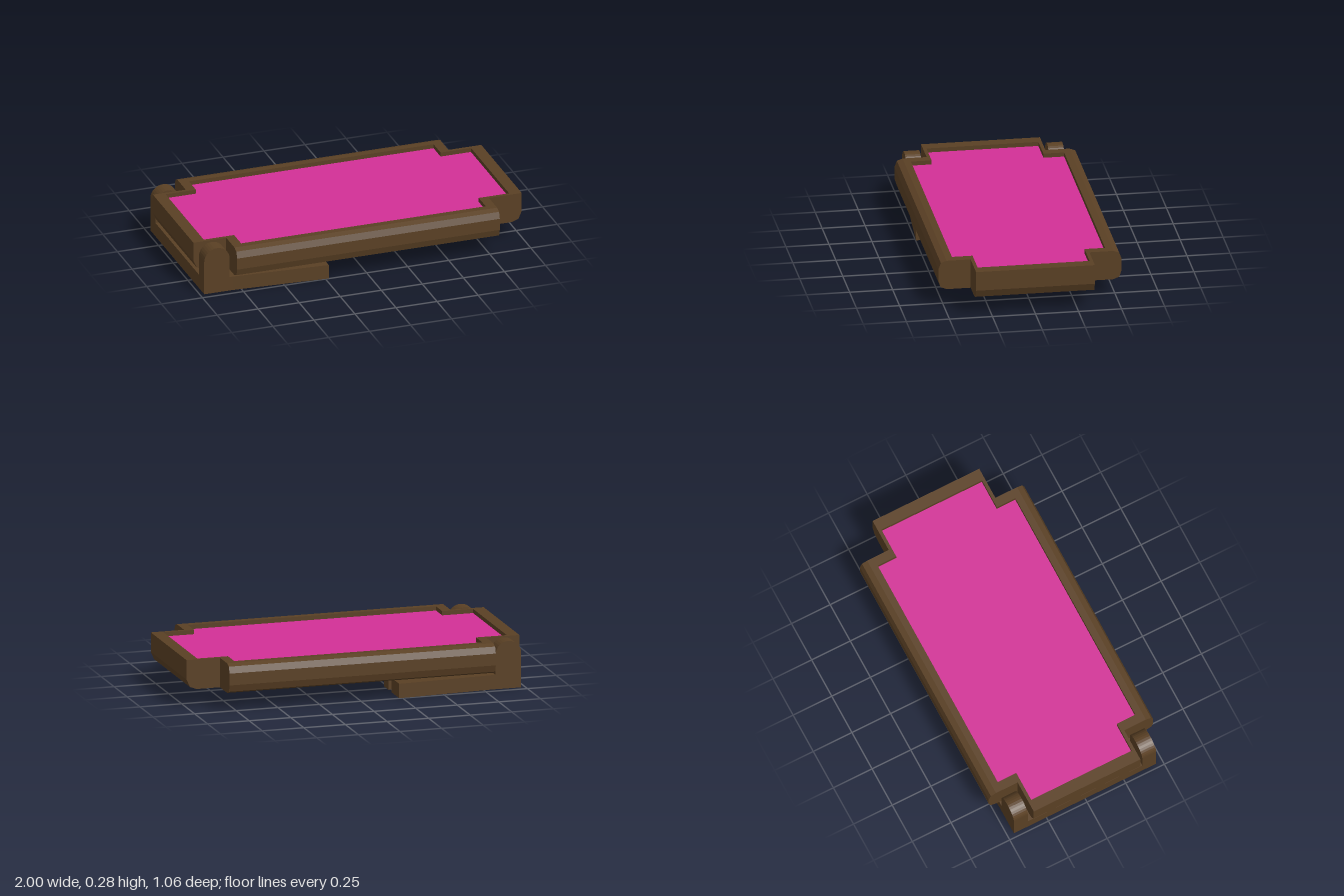
import * as THREE from 'three';

const brown = new THREE.MeshStandardMaterial({ color: 0x5a4024, flatShading: true });
const pink = new THREE.MeshStandardMaterial({ color: 0xd23096, flatShading: true });

const BOTTOM = 0.105, FLOOR = 0.255, TOP = 0.28;

function shapeOf(points) {
  return new THREE.Shape(points.map(([a, b]) => new THREE.Vector2(a, b)));
}

function extrude(shape, depth) {
  return new THREE.ExtrudeGeometry(shape, { depth, bevelEnabled: false, curveSegments: 8 });
}

// Extrudes a plan drawn in x and z upwards from y0 to y1
function slab(shape, y0, y1) {
  return extrude(shape, y1 - y0).rotateX(-Math.PI / 2).translate(0, y0, 0);
}

// Cross-shaped plan with half sizes: long arm x1 by z1, wide arm x2 by z2
function crossPlan(x1, z1, x2, z2) {
  return shapeOf([
    [-x1, -z1], [-x2, -z1], [-x2, -z2], [x2, -z2], [x2, -z1], [x1, -z1],
    [x1, z1], [x2, z1], [x2, z2], [-x2, z2], [-x2, z1], [-x1, z1],
  ]);
}

export function createModel() {
  const model = new THREE.Group();
  const add = (name, geometry, material = brown, parent = model) => {
    const mesh = new THREE.Mesh(geometry, material);
    mesh.name = name;
    parent.add(mesh);
    return mesh;
  };

  // Tray floor and its inlaid panel
  add('trayFloor', slab(crossPlan(0.93, 0.325, 0.745, 0.445), BOTTOM, FLOOR - 0.005));
  add('inlayPanel', slab(crossPlan(0.93, 0.325, 0.745, 0.445), FLOOR - 0.005, FLOOR), pink);

  // Rounded long rail and chamfered end rail, repeated on the opposite side
  const railProfile = shapeOf([
    [0.445, BOTTOM], [0.485, BOTTOM], [0.52, 0.12], [0.532, 0.16],
    [0.532, 0.23], [0.518, 0.268], [0.485, TOP], [0.445, TOP],
  ]);
  const endProfile = shapeOf([
    [0.93, BOTTOM], [0.94, BOTTOM], [0.98, 0.12], [1, 0.165], [1, TOP], [0.93, TOP],
  ]);
  for (const turn of [0, Math.PI]) {
    const half = new THREE.Group();
    half.name = turn ? 'backRim' : 'frontRim';
    half.rotation.y = turn;
    add('longRail', extrude(railProfile, 1.6).rotateY(-Math.PI / 2).translate(0.8, 0, 0), brown, half);
    add('endRail', extrude(endProfile, 0.69).translate(0, 0, -0.345), brown, half);
    model.add(half);
  }

  // Stepped rim at each inner corner
  const stepPlan = (sx, sz) => shapeOf([
    [0.745, 0.325], [0.93, 0.325], [0.93, 0.345], [0.8, 0.345], [0.8, 0.445], [0.745, 0.445],
  ].map(([x, z]) => [x * sx, z * sz]));
  for (const sx of [-1, 1]) {
    for (const sz of [-1, 1]) add('cornerRim', slab(stepPlan(sx, sz), BOTTOM, TOP));
  }

  // Forked plate below: half outline from the hinge edge to the middle finger
  const halfFork = [
    [-0.975, 0.46], [-0.8, 0.46], [-0.23, 0.498], [-0.23, 0.345], [-0.5, 0.345],
    [-0.53, 0.29], [-0.23, 0.29], [-0.23, 0.203], [-0.5, 0.203], [-0.53, 0.035], [-0.23, 0.035],
  ];
  const mirror = (pts) => pts.map(([x, z]) => [x, -z]);
  const fork = shapeOf([...halfFork, ...mirror(halfFork).reverse()]);
  const openings = [
    [[-0.55, 0.32], [-0.82, 0.37], [-0.82, 0.285]],
    [[-0.59, 0.2], [-0.82, 0.2], [-0.82, 0.12], [-0.79, 0.075], [-0.58, 0.06]],
  ];
  for (const hole of openings) fork.holes.push(shapeOf(hole), shapeOf(mirror(hole)));
  add('forkedPlate', slab(fork, 0, 0.085));

  // Arched hinge lugs rising from the plate
  const lug = new THREE.Shape();
  lug.moveTo(-0.975, 0.085);
  lug.lineTo(-0.82, 0.085);
  lug.lineTo(-0.82, 0.2025);
  lug.absarc(-0.8975, 0.2025, 0.0775, 0, Math.PI, false);
  lug.closePath();
  for (const z of [0.37, -0.46]) add('hingeLug', extrude(lug, 0.09).translate(0, 0, z));

  return model;
}
